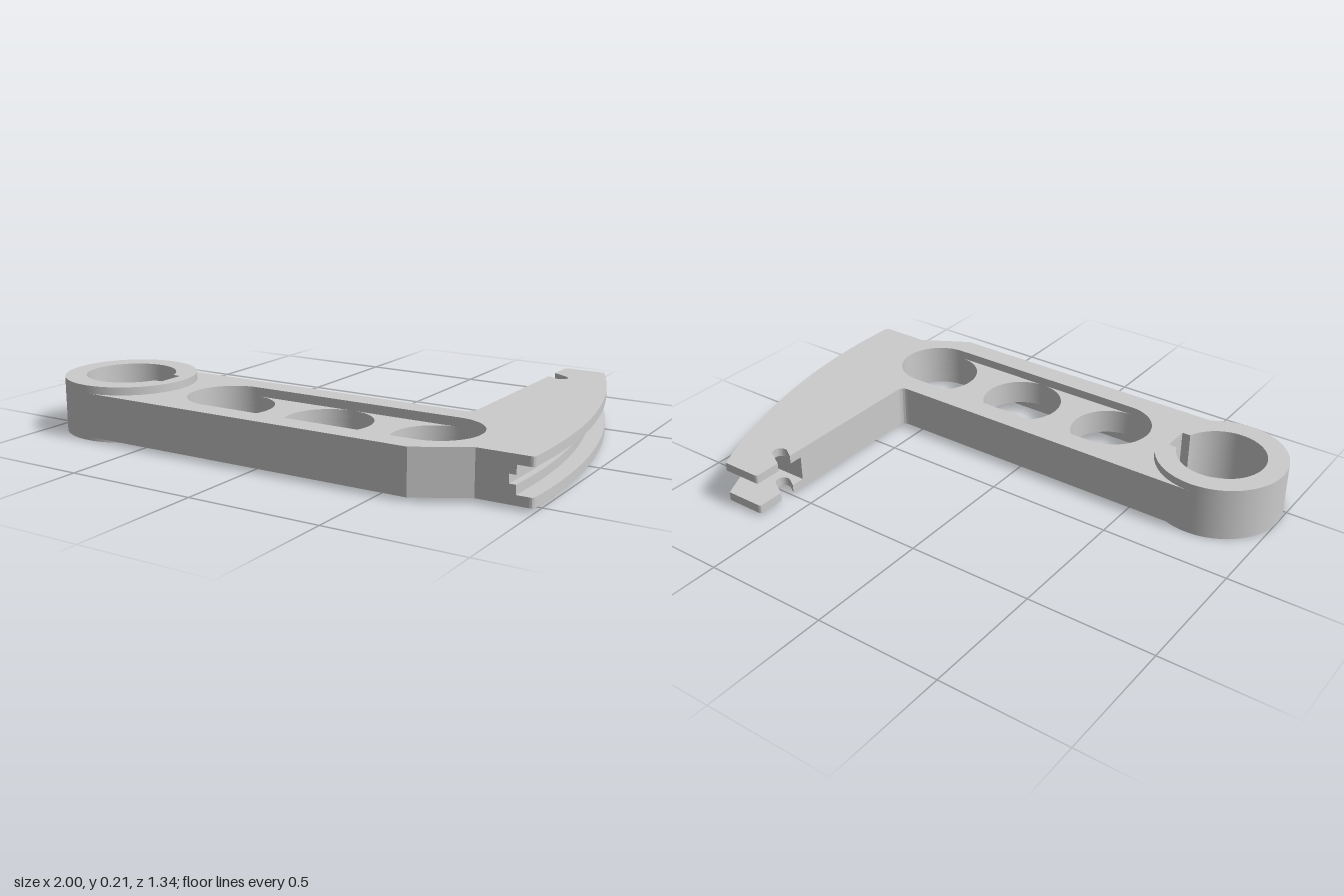
import * as THREE from 'three';
import { toCreasedNormals } from 'three/addons/utils/BufferGeometryUtils.js';

const material = new THREE.MeshStandardMaterial({ color: 0xcccccc });
const BOSS = { x: -0.75, y: -0.417, r: 0.25, bore: 0.17 };
const HOLES = [-0.27, 0.155, 0.585];
const HOLE_R = 0.16;

// Plan shapes use x and -z; the extrusion is turned so its depth runs up y.
function slab(name, shape, y0, y1) {
  const extruded = new THREE.ExtrudeGeometry(shape, { depth: y1 - y0, bevelEnabled: false, curveSegments: 40 });
  extruded.rotateX(-Math.PI / 2).translate(0, y0, 0);
  const mesh = new THREE.Mesh(toCreasedNormals(extruded, 0.5), material);
  mesh.name = name;
  return mesh;
}

// L-shaped outline: straight arm plus a curved sector ending at height 'top'
function armOutline(radius, top, hooked) {
  const cx = -1.5, cy = BOSS.y;
  const a0 = Math.asin((-0.545 - cy) / radius);
  const a1 = Math.asin((top - cy) / radius);
  const xEnd = cx + radius * Math.cos(a0);
  const s = new THREE.Shape();
  s.moveTo(BOSS.x, -0.667);
  s.lineTo(0.61, -0.667);
  s.lineTo(0.795, -0.56);
  if (hooked) {
    s.lineTo(xEnd - 0.015, -0.56);
    s.quadraticCurveTo(xEnd, -0.56, xEnd, -0.545);
  } else {
    s.lineTo(xEnd, -0.56);
  }
  s.absarc(cx, cy, radius, a0, a1, false);
  if (hooked) {
    // rounded tip corner and slanted hook notch
    s.lineTo(0.6, top);
    s.quadraticCurveTo(0.588, top, 0.588, top - 0.012);
    s.lineTo(0.588, 0.565);
    s.lineTo(0.652, 0.527);
    s.absarc(0.638, 0.502, 0.028, 1.05, -2.09, true);
    s.lineTo(0.588, 0.5);
  } else {
    s.lineTo(0.588, top);
  }
  s.lineTo(0.588, -0.135);
  s.quadraticCurveTo(0.588, -0.167, 0.556, -0.167);
  s.lineTo(BOSS.x, -0.167);
  // the arm root is buried in the boss wall
  s.absarc(BOSS.x, BOSS.y, 0.21, Math.PI / 2, -Math.PI / 2, true);
  return s;
}

// Flange: long recess around all three holes
function flange(y0, y1, name) {
  const s = armOutline(2.5, 0.675, true);
  const recess = new THREE.Path();
  recess.absarc(HOLES[0], BOSS.y, HOLE_R, Math.PI / 2, Math.PI * 1.5, false);
  recess.absarc(HOLES[2], BOSS.y, HOLE_R, -Math.PI / 2, Math.PI / 2, false);
  recess.closePath();
  s.holes.push(recess);
  return slab(name, s, y0, y1);
}

// Web: three round holes and a set-back rim that forms the groove
function web(y0, y1, radius, name) {
  const s = armOutline(radius, 0.445, false);
  for (const x of HOLES) s.holes.push(new THREE.Path().absarc(x, BOSS.y, HOLE_R, 0, Math.PI * 2, true));
  return slab(name, s, y0, y1);
}

// Boss: ring with a keyway in its bore
function boss() {
  const s = new THREE.Shape().absarc(BOSS.x, BOSS.y, BOSS.r, 0, Math.PI * 2, false);
  const half = 0.054, a = Math.asin(half / BOSS.bore);
  const bore = new THREE.Path();
  bore.absarc(BOSS.x, BOSS.y, BOSS.bore, a, Math.PI * 2 - a, false);
  bore.lineTo(BOSS.x + 0.195, BOSS.y - half);
  bore.lineTo(BOSS.x + 0.195, BOSS.y + half);
  bore.closePath();
  s.holes.push(bore);
  return slab('boss', s, 0, 0.21);
}

export function createModel() {
  const group = new THREE.Group();
  group.name = 'leverArm';
  group.add(
    boss(),
    flange(0.013, 0.048, 'lowerFlange'),
    web(0.048, 0.081, 2.44, 'lowerWeb'),
    web(0.081, 0.113, 2.415, 'grooveFloor'),
    web(0.113, 0.146, 2.44, 'upperWeb'),
    flange(0.146, 0.18, 'upperFlange')
  );
  return group;
}
